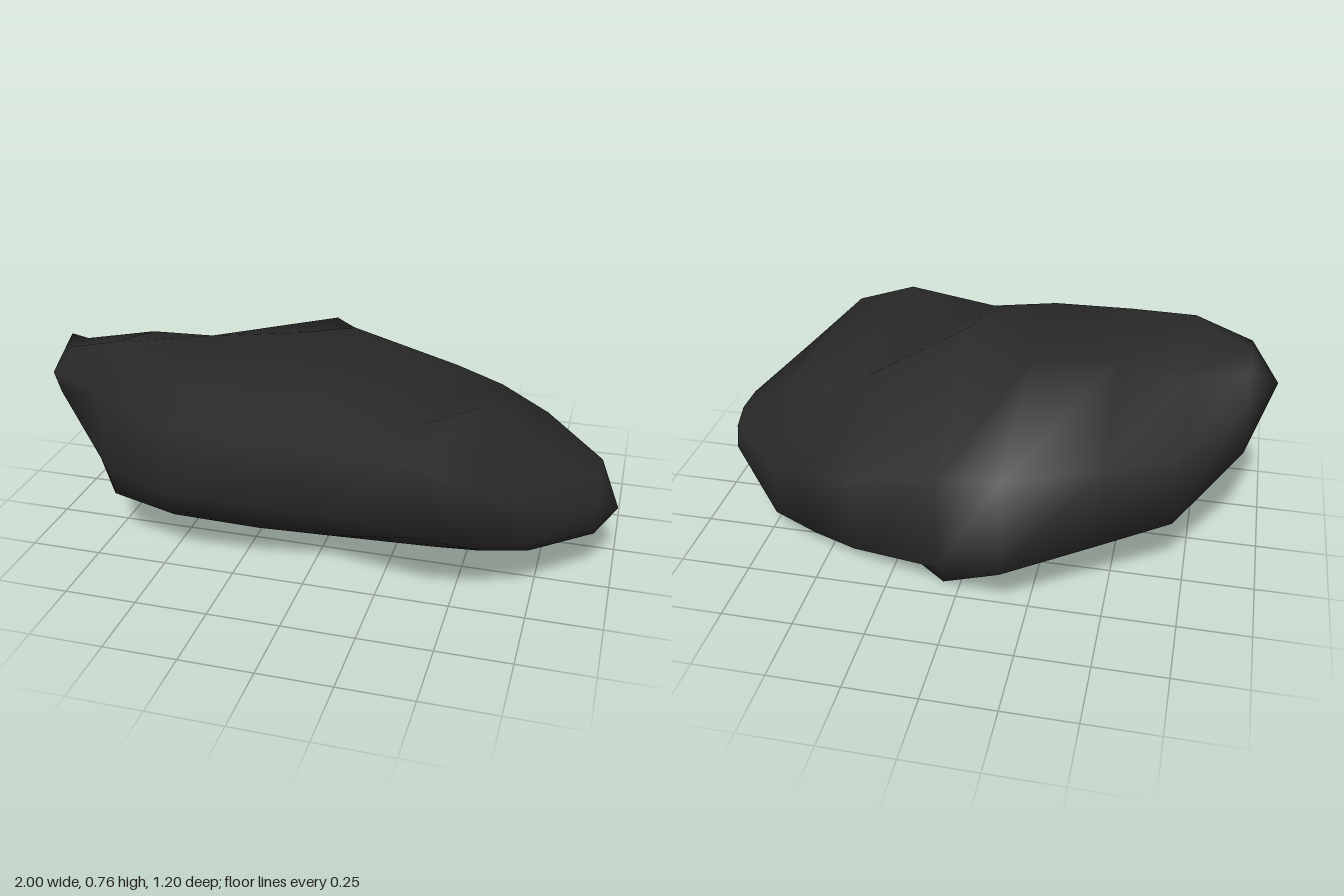
import * as THREE from 'three';

// Cross-sections along x; each ring holds (z, y) pairs going
// lower front -> upper front -> crest -> top -> upper back -> lower back -> base -> front base
const stations = [-.91, -.70, -.46, -.17, .06, .40, .56, .73, .93];
const rings = [
  [.35, .54, .39, .63, .26, .67, .12, .65, .03, .57, -.05, .42, .06, .35, .24, .44],
  [.48, .34, .475, .61, .33, .74, .02, .66, -.20, .47, -.30, .27, -.03, .21, .43, .21],
  [.585, .33, .57, .56, .46, .68, .05, .68, -.37, .50, -.44, .24, -.12, .09, .48, .19],
  [.555, .31, .55, .53, .49, .66, -.03, .69, -.57, .55, -.60, .20, -.18, .02, .45, .165],
  [.52, .29, .515, .52, .44, .65, .04, .76, -.50, .47, -.52, .13, -.43, .00, .38, .13],
  [.58, .29, .595, .54, .52, .66, -.10, .60, -.42, .36, -.37, .045, -.20, .04, .31, .10],
  [.53, .25, .55, .46, .36, .668, -.09, .55, -.34, .33, -.32, .055, -.16, .055, .31, .11],
  [.43, .22, .42, .37, .25, .52, -.03, .49, -.25, .27, -.255, .075, -.12, .09, .33, .15],
  [.23, .20, .20, .28, .12, .35, .00, .35, -.07, .31, -.09, .23, -.04, .16, .18, .16]
];
const rightTip = [-1, .64, .07];
const leftTip = [1, .23, .11];

// Skin the sections and close both ends with a fan to a tip
function loft() {
  const sides = 8, positions = [], index = [];
  stations.forEach((x, s) => {
    for (let j = 0; j < sides; j++) positions.push(x, rings[s][2 * j + 1], rings[s][2 * j]);
  });
  const startTip = stations.length * sides;
  const endTip = startTip + 1;
  positions.push(...rightTip, ...leftTip);

  const last = (stations.length - 1) * sides;
  for (let j = 0; j < sides; j++) {
    const k = (j + 1) % sides;
    for (let i = 0; i < last; i += sides) {
      const a = i + j, b = i + sides + j, c = i + sides + k, d = i + k;
      index.push(a, b, c, a, c, d);
    }
    index.push(startTip, j, k);
    index.push(last + j, endTip, last + k);
  }
  const geometry = new THREE.BufferGeometry();
  geometry.setAttribute('position', new THREE.Float32BufferAttribute(positions, 3));
  geometry.setIndex(index);
  geometry.computeVertexNormals();
  return geometry;
}

export function createModel() {
  const group = new THREE.Group();
  group.name = 'rock';
  const stone = new THREE.MeshStandardMaterial({ color: 0x292929 });
  stone.name = 'dark stone';
  const boulder = new THREE.Mesh(loft(), stone);
  boulder.name = 'boulder';
  group.add(boulder);
  return group;
}
